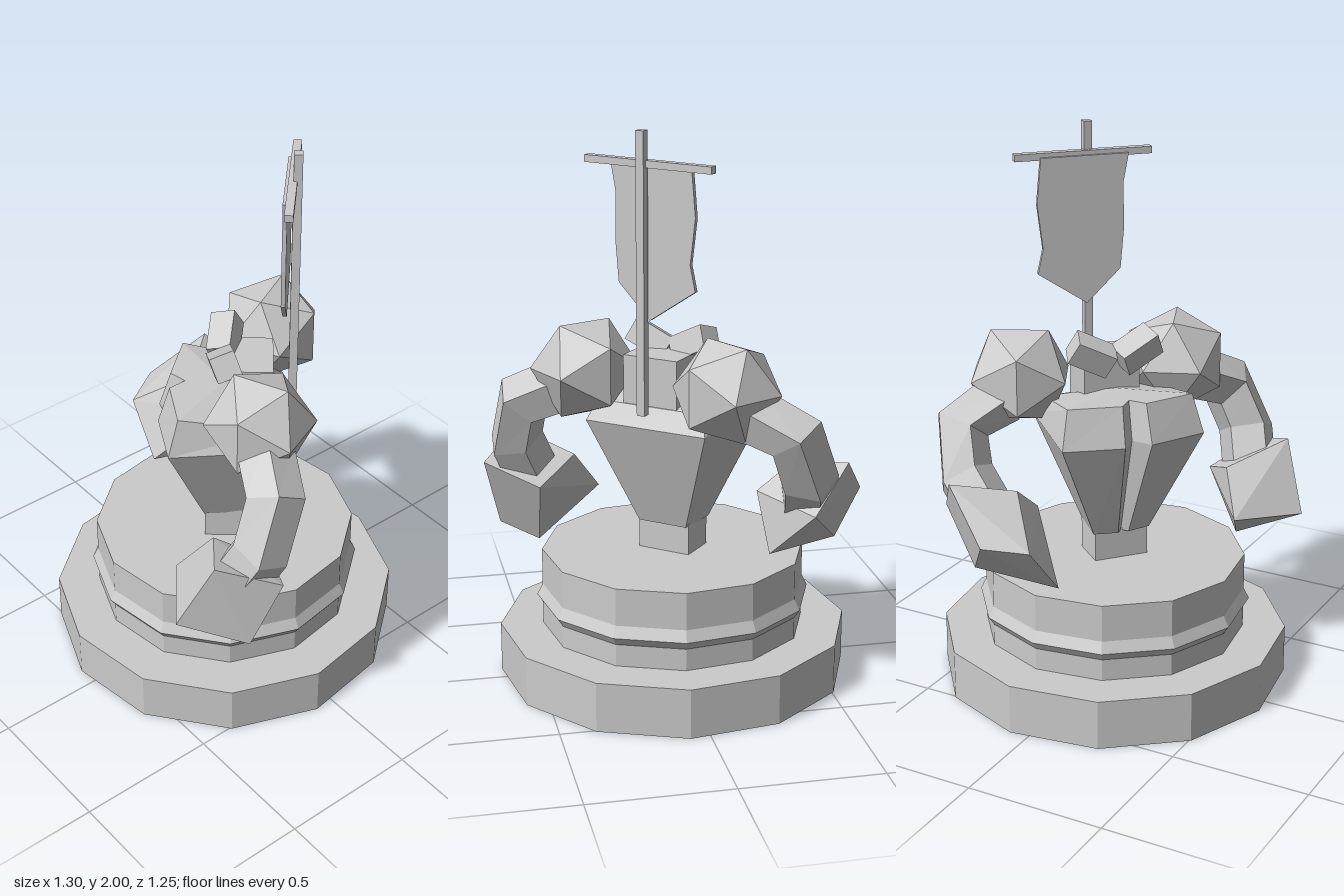
import * as THREE from 'three';
import { ConvexGeometry } from 'three/addons/geometries/ConvexGeometry.js';

const stone = new THREE.MeshStandardMaterial({ color: 0xcccccc, flatShading: true, side: THREE.DoubleSide });

function add(parent, name, geometry, x = 0, y = 0, z = 0) {
  const mesh = new THREE.Mesh(geometry, stone);
  mesh.name = name;
  mesh.position.set(x, y, z);
  parent.add(mesh);
  return mesh;
}

const vectors = (points) => points.map((p) => new THREE.Vector3(...p));

// Joins equal-length rings of [x, y, z], bottom to top, and closes both ends.
function loft(rings) {
  const n = rings[0].length;
  const positions = rings.flat(2);
  const index = [];
  for (let r = 0; r < rings.length - 1; r++) {
    for (let i = 0; i < n; i++) {
      const j = (i + 1) % n, a = r * n, b = a + n;
      index.push(a + i, a + j, b + j, a + i, b + j, b + i);
    }
  }
  const last = rings.length - 1;
  const base = rings.length * n;
  positions.push(0, rings[0][0][1], 0, 0, rings[last][0][1], 0);
  for (let i = 0; i < n; i++) {
    const j = (i + 1) % n;
    index.push(base, j, i, base + 1, last * n + i, last * n + j);
  }
  const g = new THREE.BufferGeometry();
  g.setAttribute('position', new THREE.Float32BufferAttribute(positions, 3));
  g.setIndex(index);
  g.computeVertexNormals();
  return g;
}

export function createModel() {
  const model = new THREE.Group();
  model.name = 'golemStatue';

  // Twelve-sided stepped plinth, hollow from below
  const profile = [
    [0.63, 0], [0.63, 0.18], [0.475, 0.18], [0.475, 0.26], [0.495, 0.29],
    [0.475, 0.33], [0.475, 0.465], [0, 0.465],
  ].map((p) => new THREE.Vector2(...p));
  add(model, 'plinth', new THREE.LatheGeometry(profile, 12, -0.113));

  // Body turned towards the model's right
  const body = new THREE.Group();
  body.name = 'body';
  body.rotation.y = THREE.MathUtils.degToRad(-40);
  model.add(body);

  add(body, 'waist', new THREE.BoxGeometry(0.2, 0.13, 0.14), 0, 0.515, 0);

  // Torso flares upwards, with a groove down the chest
  const outline = [
    [-0.265, 0.19], [-0.05, 0.235], [0, 0.17], [0.05, 0.235],
    [0.265, 0.19], [0.235, -0.21], [-0.235, -0.21],
  ];
  const ring = (sx, sz, front, back) =>
    outline.map(([x, z]) => [x * sx, z > 0 ? front : back, z * sz]);
  add(body, 'torso', loft([
    ring(0.4, 0.38, 0.57, 0.57),
    ring(1, 1, 0.95, 0.96),
    ring(0.88, 0.82, 1.09, 1.03),
  ]));

  // Head with two slanted brows
  add(body, 'head', new THREE.BoxGeometry(0.21, 0.18, 0.15), 0, 1.115, -0.095);
  for (const s of [-1, 1]) {
    const brow = add(body, s > 0 ? 'leftBrow' : 'rightBrow',
      new THREE.BoxGeometry(0.15, 0.09, 0.09), s * 0.085, 1.225, 0);
    brow.rotation.set(0.3, s * 0.25, s * 0.4);
  }

  // Banner on the back, its bar and cloth turned a little further
  add(body, 'bannerPole', new THREE.BoxGeometry(0.03, 0.98, 0.03), -0.01, 1.51, -0.24);
  const bar = add(body, 'bannerBar', new THREE.BoxGeometry(0.5, 0.025, 0.03), -0.03, 1.888, -0.225);
  const cloth = new THREE.Shape([
    [-0.155, 1.885], [0.165, 1.885], [0.145, 1.78], [0.148, 1.62], [0.135, 1.47],
    [0.01, 1.35], [-0.17, 1.47], [-0.15, 1.56], [-0.17, 1.72],
  ].map((p) => new THREE.Vector2(...p)));
  const sheet = add(body, 'bannerCloth',
    new THREE.ExtrudeGeometry(cloth, { depth: 0.015, bevelEnabled: false }), -0.035, 0, -0.215);
  bar.rotation.y = sheet.rotation.y = -0.07;

  // Arms: faceted shoulder, bent arm and block fist, each side posed differently
  const arms = [
    {
      side: 'left',
      shoulder: [0.3, 1.125, 0.087],
      turn: 0.4,
      path: [[0.36, 1.06, 0.12], [0.5, 1.0, 0.19], [0.545, 0.88, 0.25], [0.46, 0.65, 0.33]],
      fist: [
        [0.425, 0.56, 0.556], [0.51, 0.81, 0.455], [0.31, 0.735, 0.3], [0.205, 0.58, 0.385],
        [0.585, 0.47, 0.36], [0.65, 0.735, 0.27], [0.46, 0.66, 0.16], [0.45, 0.42, 0.28],
      ],
    },
    {
      side: 'right',
      shoulder: [-0.12, 1.125, -0.315],
      turn: -1.1,
      path: [[-0.18, 1.06, -0.35], [-0.32, 1.0, -0.43], [-0.375, 0.88, -0.42], [-0.43, 0.68, -0.25]],
      fist: [
        [-0.655, 0.69, -0.155], [-0.55, 0.85, -0.345], [-0.4, 0.7, -0.46], [-0.53, 0.55, -0.26],
        [-0.575, 0.67, -0.01], [-0.405, 0.81, -0.16], [-0.27, 0.705, -0.16],
        [-0.42, 0.485, 0.01], [-0.29, 0.505, -0.27],
      ],
    },
  ];
  for (const { side, shoulder, turn, path, fist } of arms) {
    const ball = add(model, side + 'Shoulder', new THREE.IcosahedronGeometry(0.195, 0), ...shoulder);
    ball.rotation.y = turn;
    const curve = new THREE.CatmullRomCurve3(vectors(path));
    add(model, side + 'Arm', new THREE.TubeGeometry(curve, 3, 0.105, 5));
    add(model, side + 'Fist', new ConvexGeometry(vectors(fist)));
  }

  return model;
}
